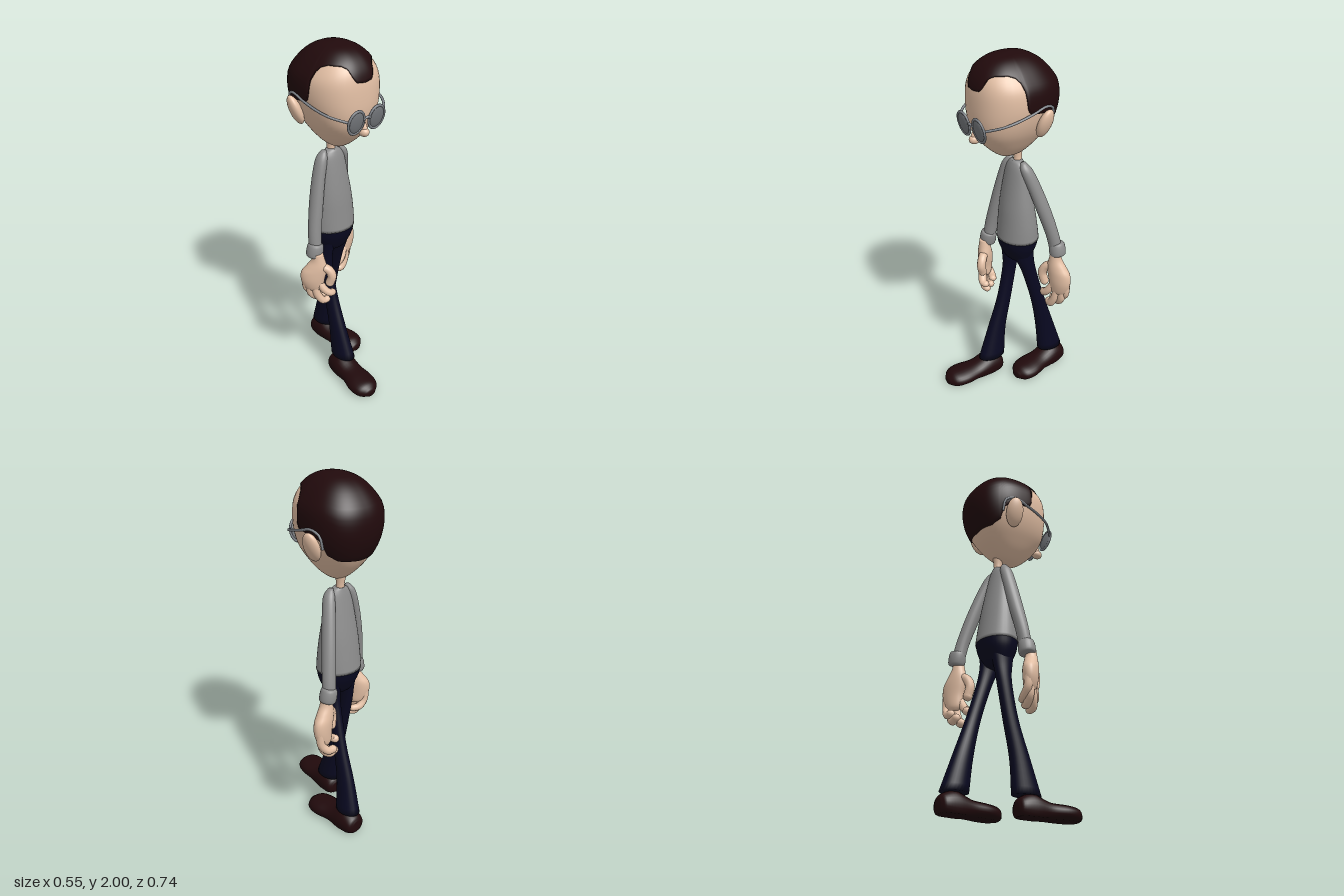
import * as THREE from 'three';

const mat = (name, color) => {
  const m = new THREE.MeshStandardMaterial({ color });
  m.name = name;
  return m;
};
const V = (x, y, z) => new THREE.Vector3(x, y, z);

// Capped stack of closed rings running upward; fn(row, angle) gives a point
function ringGrid(rows, cols, fn) {
  const pos = [], idx = [];
  for (let i = 0; i <= rows; i++)
    for (let j = 0; j < cols; j++) pos.push(...fn(i, (j / cols) * Math.PI * 2));
  for (let i = 0; i < rows; i++)
    for (let j = 0; j < cols; j++) {
      const k = (j + 1) % cols, a = i * cols + j, b = i * cols + k;
      idx.push(a, b, b + cols, a, b + cols, a + cols);
    }
  for (const row of [0, rows]) {
    const c = V(0, 0, 0), n = pos.length / 3;
    for (let j = 0; j < cols; j++) c.add(V(...pos.slice((row * cols + j) * 3, (row * cols + j) * 3 + 3)));
    pos.push(...c.divideScalar(cols).toArray());
    for (let j = 0; j < cols; j++) {
      const a = row * cols + j, b = row * cols + (j + 1) % cols;
      row ? idx.push(n, a, b) : idx.push(n, b, a);
    }
  }
  const g = new THREE.BufferGeometry();
  g.setAttribute('position', new THREE.Float32BufferAttribute(pos, 3));
  g.setIndex(idx);
  g.computeVertexNormals();
  return g;
}

// Smooth sampler through sections [x, y, z, rx, rz], bottom to top; power 2 is an ellipse, more is squarer
function sections(list, power = 2) {
  const c = new THREE.CatmullRomCurve3(list.map(s => V(s[0], s[1], s[2])), false, 'catmullrom', 0.5);
  const r = new THREE.CatmullRomCurve3(list.map(s => V(s[3], s[4], 0)), false, 'catmullrom', 0.5);
  return (t, a, off = 0) => {
    const p = c.getPoint(t), q = r.getPoint(t), s = Math.sin(a), k = Math.cos(a);
    const f = (Math.abs(s) ** power + Math.abs(k) ** power) ** (-1 / power);
    return [p.x + (Math.max(q.x, 0.002) + off) * s * f, p.y, p.z + (Math.max(q.y, 0.002) + off) * k * f];
  };
}
function loft(list, cols = 28, per = 5, power = 2) {
  const s = sections(list, power), rows = (list.length - 1) * per;
  return ringGrid(rows, cols, (i, a) => s(i / rows, a));
}

// Round tube with ball ends
function rod(parent, name, pts, r, m) {
  const g = new THREE.Group();
  g.name = name;
  const curve = new THREE.CatmullRomCurve3(pts.map(p => V(...p)));
  g.add(new THREE.Mesh(new THREE.TubeGeometry(curve, 20, r, 10), m));
  for (const p of [pts[0], pts[pts.length - 1]]) {
    const ball = new THREE.Mesh(new THREE.SphereGeometry(r, 12, 8), m);
    ball.position.set(...p);
    g.add(ball);
  }
  parent.add(g);
}

export function createModel() {
  const root = new THREE.Group();
  const skin = mat('skin', 0xe4c0a5), brown = mat('dark brown', 0x210a0c);
  const shirt = mat('grey shirt', 0x8c8c8c), navy = mat('navy trousers', 0x080820);
  const metal = mat('grey frame', 0x80848a), glass = mat('grey lens', 0x75787c);
  const add = (parent, name, geo, m) => {
    const mesh = new THREE.Mesh(geo, m);
    mesh.name = name;
    parent.add(mesh);
    return mesh;
  };
  const blob = (parent, name, m, p, s) => {
    const b = add(parent, name, new THREE.SphereGeometry(1, 28, 18), m);
    b.position.set(...p);
    b.scale.set(...s);
    return b;
  };

  // Head: squarish egg with a rounded jaw
  const head = new THREE.Group();
  head.name = 'head';
  head.position.x = -0.02;
  root.add(head);
  const skull = [
    [0, 1.444, -0.04, 0.02, 0.035], [0, 1.462, -0.038, 0.052, 0.075], [0, 1.5, -0.036, 0.09, 0.122],
    [0, 1.55, -0.037, 0.127, 0.168], [0, 1.61, -0.038, 0.164, 0.205], [0, 1.68, -0.045, 0.191, 0.227],
    [0, 1.76, -0.05, 0.205, 0.234], [0, 1.84, -0.048, 0.2, 0.226], [0, 1.9, -0.038, 0.168, 0.197],
    [0, 1.95, -0.033, 0.123, 0.15], [0, 1.982, -0.032, 0.07, 0.088], [0, 1.993, -0.032, 0.004, 0.004]];
  add(head, 'face', loft(skull, 48, 4, 2.4), skin);

  // Hair: cap over the skull down to a hairline given by angle from the front
  const line = [[0, 1.842], [13, 1.848], [18, 1.87], [26, 1.912], [36, 1.925], [56, 1.927], [67, 1.915], [74, 1.885],
    [78, 1.75], [83, 1.735], [110, 1.72], [118, 1.7], [125, 1.63], [140, 1.6], [180, 1.59]];
  const hairY = a => {
    const d = Math.min(a, Math.PI * 2 - a) * 180 / Math.PI;
    const k = Math.max(1, line.findIndex(p => p[0] >= d - 1e-6));
    const [d0, y0] = line[k - 1], [d1, y1] = line[k];
    return y0 + (y1 - y0) * (d - d0) / (d1 - d0);
  };
  const at = sections(skull, 2.4);
  const hairT = a => {
    let lo = 0, hi = 1;
    for (let i = 0; i < 30; i++) {
      const m = (lo + hi) / 2;
      at(m, 0)[1] < hairY(a) ? lo = m : hi = m;
    }
    return lo;
  };
  add(head, 'hair', ringGrid(21, 144, (i, a) => {
    const t0 = hairT(a), f = Math.max(0, i - 1) / 20;
    const p = at(t0 + (1 - t0) * f, a, i === 0 ? -0.005 : 0.008 * (1 - f ** 6));
    p[1] += 0.007 * f;
    return p;
  }), brown);

  // Nose
  blob(head, 'noseBridge', skin, [0, 1.605, 0.17], [0.02, 0.045, 0.03]).rotation.x = -0.4;
  blob(head, 'noseTip', skin, [0, 1.585, 0.182], [0.026, 0.025, 0.031]);

  // Ears and glasses, mirrored about the head
  for (const s of [1, -1]) {
    const side = new THREE.Group();
    side.name = s > 0 ? 'leftHeadSide' : 'rightHeadSide';
    side.scale.x = s;
    head.add(side);
    const ear = blob(side, 'ear', skin, [0.204, 1.666, -0.108], [0.03, 0.085, 0.049]);
    ear.rotation.set(0, 0.25, -0.38);
    const lens = blob(side, 'lens', glass, [0.066, 1.655, 0.2], [0.046, 0.06, 0.011]);
    lens.rotation.x = 0.2;
    const rim = add(side, 'lensRim', new THREE.TorusGeometry(0.05, 0.0065, 8, 32), metal);
    rim.position.copy(lens.position);
    rim.scale.y = 1.27;
    rim.rotation.x = 0.2;
    rod(side, 'temple', [[0.112, 1.665, 0.198], [0.175, 1.69, 0.13], [0.2, 1.71, 0.06], [0.211, 1.735, -0.03],
      [0.211, 1.757, -0.11], [0.198, 1.735, -0.163], [0.185, 1.67, -0.172]], 0.007, metal);
  }
  rod(head, 'glassesBridge', [[-0.02, 1.665, 0.203], [0, 1.672, 0.208], [0.02, 1.665, 0.203]], 0.007, metal);

  // Neck and body
  add(root, 'neck', loft([[-0.012, 1.37, -0.086, 0.026, 0.026], [-0.014, 1.42, -0.088, 0.022, 0.023],
    [-0.018, 1.48, -0.086, 0.03, 0.035]]), skin);
  add(root, 'shirtBody', loft([[-0.008, 0.935, -0.087, 0.131, 0.112], [-0.008, 1.02, -0.085, 0.126, 0.102],
    [-0.01, 1.13, -0.082, 0.114, 0.088], [-0.012, 1.25, -0.08, 0.094, 0.067], [-0.012, 1.35, -0.079, 0.074, 0.047],
    [-0.012, 1.39, -0.08, 0.053, 0.036], [-0.012, 1.406, -0.082, 0.03, 0.029]], 36), shirt);
  add(root, 'trouserHips', loft([[-0.008, 0.79, -0.085, 0.04, 0.03], [-0.008, 0.803, -0.085, 0.078, 0.055],
    [-0.008, 0.84, -0.085, 0.1, 0.078], [-0.008, 0.89, -0.086, 0.12, 0.1], [-0.008, 0.942, -0.087, 0.129, 0.11]], 36), navy);

  // Legs in mid stride
  add(root, 'rightTrouserLeg', loft([[-0.058, 0.115, 0.065, 0.056, 0.085], [-0.064, 0.3, 0.022, 0.043, 0.059],
    [-0.066, 0.5, -0.035, 0.035, 0.045], [-0.068, 0.7, -0.076, 0.034, 0.044], [-0.064, 0.8, -0.083, 0.038, 0.056],
    [-0.06, 0.87, -0.085, 0.046, 0.07]]), navy);
  add(root, 'leftTrouserLeg', loft([[0.072, 0.115, -0.28, 0.058, 0.08], [0.062, 0.3, -0.242, 0.043, 0.058],
    [0.06, 0.5, -0.188, 0.034, 0.043], [0.052, 0.7, -0.13, 0.034, 0.044], [0.048, 0.8, -0.1, 0.038, 0.056],
    [0.044, 0.87, -0.088, 0.046, 0.07]]), navy);

  // Shoes: lofted heel to toe, then flattened underneath
  const shoe = (name, x, z, turn, s) => {
    const g = loft([[0, 0, -0.045, 0.03, 0.03], [0, 0.02, -0.045, 0.06, 0.058], [0, 0.09, -0.045, 0.071, 0.08],
      [0, 0.18, -0.04, 0.071, 0.053], [0.006, 0.27, -0.038, 0.084, 0.048], [0.008, 0.335, -0.035, 0.07, 0.043],
      [0.008, 0.372, -0.03, 0.028, 0.02]]);
    g.rotateX(Math.PI / 2);
    const p = g.attributes.position;
    for (let i = 0; i < p.count; i++) p.setY(i, Math.max(0.003, p.getY(i)));
    g.computeVertexNormals();
    const m = add(root, name, g, brown);
    m.position.set(x, 0, z);
    m.rotation.y = turn;
    m.scale.x = s;
  };
  shoe('rightShoe', -0.067, -0.005, -0.06, -1);
  shoe('leftShoe', 0.073, -0.368, 0.07, 1);

  // Sleeves with cuffs
  const arm = (side, rings, cx, cy, cz, lean) => {
    add(root, side + 'Sleeve', loft(rings, 24), shirt);
    const cuff = add(root, side + 'Cuff', loft([[0, -0.04, 0, 0.03, 0.03], [0, -0.033, 0, 0.044, 0.044],
      [0, 0, 0, 0.047, 0.047], [0, 0.033, 0, 0.042, 0.042], [0, 0.04, 0, 0.03, 0.03]], 24, 3), shirt);
    cuff.position.set(cx, cy, cz);
    cuff.rotation.z = lean;
  };
  arm('left', [[0.166, 0.88, -0.225, 0.036, 0.036], [0.154, 0.97, -0.208, 0.037, 0.037], [0.126, 1.11, -0.17, 0.037, 0.041],
    [0.094, 1.25, -0.128, 0.034, 0.04], [0.064, 1.36, -0.092, 0.03, 0.035], [0.046, 1.405, -0.082, 0.014, 0.015]],
  0.174, 0.88, -0.23, 0.2);
  arm('right', [[-0.186, 0.87, -0.018, 0.036, 0.036], [-0.177, 0.97, -0.032, 0.037, 0.037], [-0.15, 1.11, -0.052, 0.037, 0.041],
    [-0.119, 1.25, -0.068, 0.034, 0.04], [-0.088, 1.36, -0.078, 0.03, 0.035], [-0.07, 1.405, -0.08, 0.014, 0.015]],
  -0.192, 0.865, -0.015, -0.18);

  // Large loosely curled hands
  const hand = (name, p, turn, s, h) => {
    const g = new THREE.Group();
    g.name = name;
    g.position.set(...p);
    g.rotation.y = turn;
    g.scale.set(s, h, 1);
    root.add(g);
    add(g, 'palm', loft([[0.02, -0.255, -0.008, 0.03, 0.018], [0.025, -0.23, -0.004, 0.052, 0.032], [0.032, -0.17, 0, 0.066, 0.041],
      [0.025, -0.11, 0, 0.071, 0.043], [0.01, -0.065, 0, 0.058, 0.04], [0, -0.02, 0, 0.038, 0.034],
      [0, 0.03, 0, 0.028, 0.028]], 24), skin);
    const fingers = [
      [[0.073, -0.17, -0.005], [0.066, -0.24, -0.012], [0.038, -0.28, -0.035], [0.005, -0.285, -0.045]],
      [[0.05, -0.2, 0], [0.042, -0.28, -0.005], [0.008, -0.318, -0.025], [-0.025, -0.31, -0.035]],
      [[0.02, -0.21, 0.005], [0.005, -0.285, 0.008], [-0.025, -0.332, 0], [-0.042, -0.335, -0.015]],
      [[-0.005, -0.19, 0.005], [-0.035, -0.24, 0.012], [-0.065, -0.268, 0.005], [-0.075, -0.275, -0.01]]];
    fingers.forEach((f, i) => rod(g, 'finger' + (i + 1), f, 0.023, skin));
    rod(g, 'thumb', [[-0.01, -0.065, 0], [-0.055, -0.085, 0.008], [-0.076, -0.13, 0.012], [-0.064, -0.185, 0.008]], 0.026, skin);
  };
  hand('leftHand', [0.178, 0.84, -0.217], 0.35, 1, 1);
  hand('rightHand', [-0.192, 0.83, 0.012], -0.72, -1, 0.87);
  return root;
}
